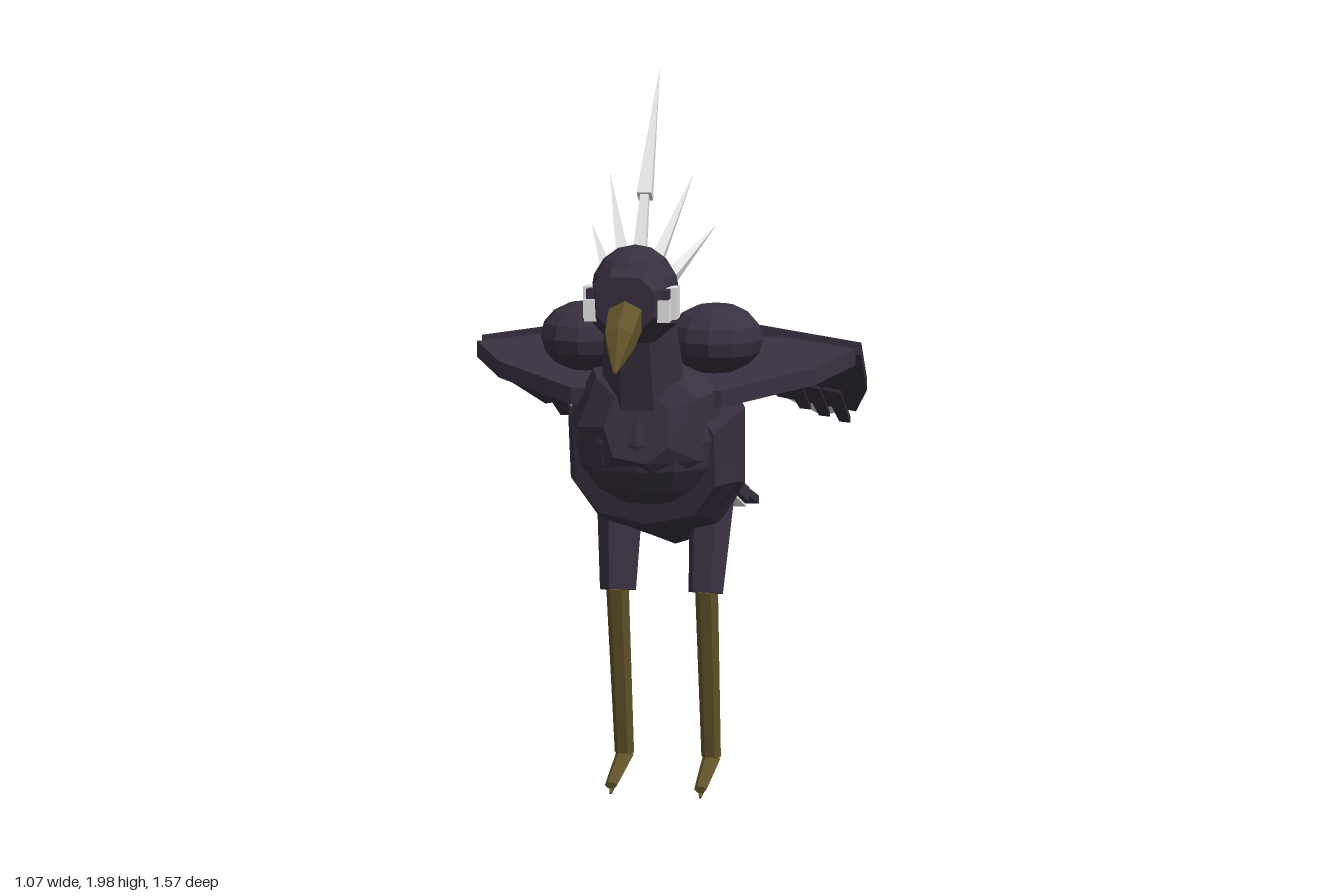
import * as THREE from 'three';

const mat = (name, color) => {
  const m = new THREE.MeshStandardMaterial({ color });
  m.name = name;
  return m;
};

export function createModel() {
  const plum = mat('plum plumage', 0x393040);
  const white = mat('white feather', 0xe4e4e4);
  const horn = mat('olive horn', 0x62542a);
  const model = new THREE.Group();
  model.name = 'crestedBird';

  const add = (name, geometry, material) => {
    const g = geometry.index ? geometry.toNonIndexed() : geometry;
    g.computeVertexNormals();
    const mesh = new THREE.Mesh(g, material);
    mesh.name = name;
    model.add(mesh);
    return mesh;
  };

  // Skin over slanted, slightly squared oval sections, front to back: [zTop, yTop, zBottom, yBottom, halfWidth]
  const full = (v) => Math.sign(v) * Math.abs(v) ** 0.8;
  const loft = (name, sections, sides, material) => {
    const rings = sections.map(([zt, yt, zb, yb, w]) => Array.from({ length: sides }, (_, i) => {
      const a = ((i + 0.5) / sides) * Math.PI * 2, k = 1 / Math.cos(Math.PI / sides);
      const s = full(Math.sin(a)) * (sides % 4 === 2 ? 1 : k) * 0.5;
      return [w * full(Math.cos(a)) * k, (yt + yb) / 2 + s * (yt - yb), (zt + zb) / 2 + s * (zt - zb)];
    }));
    const pos = [];
    const tri = (a, b, c) => pos.push(...a, ...b, ...c);
    for (let r = 0; r < rings.length - 1; r++) {
      for (let j = 0; j < sides; j++) {
        const A = rings[r], B = rings[r + 1], n = (j + 1) % sides;
        tri(A[j], B[j], B[n]);
        tri(A[j], B[n], A[n]);
      }
    }
    const first = rings[0], last = rings[rings.length - 1];
    for (let j = 1; j < sides - 1; j++) {
      tri(first[0], first[j], first[j + 1]);
      tri(last[0], last[j + 1], last[j]);
    }
    const g = new THREE.BufferGeometry();
    g.setAttribute('position', new THREE.Float32BufferAttribute(pos, 3));
    return add(name, g, material);
  };

  const blob = (name, c, r) => {
    const g = new THREE.SphereGeometry(1, 12, 8);
    g.scale(...r).translate(...c);
    return add(name, g, plum);
  };

  const box = (name, size, c, material) => add(name, new THREE.BoxGeometry(...size).translate(...c), material);

  // Tapered rod from a to b
  const rod = (name, a, b, ra, rb, sides, material) => {
    const A = new THREE.Vector3(...a), B = new THREE.Vector3(...b);
    const d = B.clone().sub(A);
    const g = new THREE.CylinderGeometry(rb, ra, d.length(), sides);
    g.rotateY(Math.PI / sides);
    g.applyQuaternion(new THREE.Quaternion().setFromUnitVectors(new THREE.Vector3(0, 1, 0), d.normalize()));
    g.translate(...A.add(B).multiplyScalar(0.5).toArray());
    return add(name, g, material);
  };

  // Plate outlined in [x, z]; its top follows height(x, z)
  const plate = (name, outline, height, thick, material, s = 1) => {
    const shape = new THREE.Shape(outline.map(([x, z]) => new THREE.Vector2(x * s, z)));
    const g = new THREE.ExtrudeGeometry(shape, { depth: thick, bevelEnabled: false });
    const p = g.attributes.position;
    for (let i = 0; i < p.count; i++) {
      const x = p.getX(i), z = p.getY(i);
      p.setXYZ(i, x, height(Math.abs(x), z) - p.getZ(i), z);
    }
    return add(name, g, material);
  };

  // Torso and breast
  loft('body', [
    [0.40, 1.17, 0.31, 0.80, 0.185],
    [0.27, 1.23, 0.19, 0.76, 0.222],
    [0.05, 1.24, 0.03, 0.705, 0.225],
    [-0.16, 1.21, -0.11, 0.665, 0.2],
    [-0.27, 1.12, -0.18, 0.642, 0.165],
    [-0.31, 1.02, -0.19, 0.64, 0.13],
  ], 10, plum);
  blob('breast', [0, 1.04, 0.285], [0.205, 0.19, 0.19]);
  loft('breastRuff', [
    [0.45, 1.17, 0.475, 1.0, 0.08],
    [0.42, 1.22, 0.41, 0.93, 0.15],
    [0.30, 1.23, 0.30, 0.92, 0.19],
  ], 7, plum);
  rod('throatTuft', [0, 1.15, 0.435], [0, 1.24, 0.46], 0.02, 0.012, 4, plum).scale.x = 4;

  // Neck, mane and head
  rod('neck', [0, 1.14, 0.35], [0, 1.4, 0.43], 0.115, 0.09, 8, plum);
  blob('mane', [0, 1.355, 0.31], [0.085, 0.11, 0.095]);
  blob('head', [0, 1.435, 0.485], [0.115, 0.125, 0.12]);
  loft('face', [
    [0.635, 1.49, 0.63, 1.36, 0.072],
    [0.56, 1.51, 0.56, 1.32, 0.095],
    [0.45, 1.5, 0.45, 1.31, 0.1],
  ], 8, plum);
  loft('beak', [
    [0.78, 1.275, 0.775, 1.27, 0.004],
    [0.73, 1.38, 0.70, 1.305, 0.033],
    [0.61, 1.445, 0.61, 1.345, 0.042],
  ], 6, horn);

  // Long middle crest feather with a barbed blade
  rod('crestStem', [0, 1.5, 0.43], [0, 1.7, 0.32], 0.024, 0.014, 4, white);
  rod('crestBlade', [0, 1.67, 0.335], [0, 1.99, 0.1], 0.027, 0.001, 4, white);

  // Wing surfaces: level arm, flight feathers sloping back and outward
  const armY = (x, z) => 1.235 - 0.22 * (z - 0.03) + 0.03 * (x - 0.3);
  const flightY = (x, z) => 1.268 + 0.449 * (z + 0.17) - 0.166 * (x - 0.14);
  const tailY = (x, z) => 0.873 + 0.405 * (z + 0.25);

  for (const s of [1, -1]) {
    const side = s > 0 ? 'left' : 'right';
    const n = (part) => side + part;

    // Eye patch in two steps with a dark eye
    box(n('EyePatch'), [0.03, 0.08, 0.06], [s * 0.104, 1.42, 0.54], white);
    box(n('EyePatchFront'), [0.03, 0.055, 0.05], [s * 0.092, 1.405, 0.59], white);
    box(n('Eye'), [0.02, 0.025, 0.035], [s * 0.094, 1.445, 0.585], plum);

    // Side crest spikes and shoulder spike
    rod(n('InnerSpike'), [s * 0.04, 1.5, 0.42], [s * 0.11, 1.72, 0.23], 0.022, 0.001, 4, white);
    rod(n('OuterSpike'), [s * 0.08, 1.47, 0.42], [s * 0.165, 1.585, 0.2], 0.022, 0.001, 4, white);
    rod(n('ShoulderSpike'), [s * 0.17, 1.26, 0.12], [s * 0.22, 1.31, 0.03], 0.014, 0.001, 4, white);
    blob(n('Shoulder'), [s * 0.173, 1.293, 0.237], [0.126, 0.094, 0.14]);

    // Wing
    plate(n('WingArm'), [[0.06, 0.05], [0.13, -0.17], [0.525, 0.025], [0.43, 0.17], [0.2, 0.33], [0.1, 0.33]],
      armY, 0.045, plum, s);
    plate(n('WingFeathers'),
      [[0.14, -0.17], [0.17, -0.4], [0.24, -0.645], [0.475, -0.645], [0.525, -0.4], [0.533, -0.07], [0.25, -0.08]],
      flightY, 0.036, plum, s);
    plate(n('WingTip'), [[0.24, -0.645], [0.36, -0.79], [0.475, -0.645]], flightY, 0.028, white, s);
    for (const [x, end] of [[0.31, -0.7], [0.365, -0.74], [0.425, -0.765]]) {
      plate(n('WingFinger'), [[x - 0.03, -0.45], [x - 0.01, end], [x + 0.025, end + 0.01], [x + 0.02, -0.45]],
        (px, z) => flightY(px, z) - 0.026, 0.018, plum, s);
    }

    // Outer tail feather, pale drooping under feather and small tuft
    plate(n('TailFeather'), [[0.06, -0.2], [0.105, -0.735], [0.175, -0.722], [0.155, -0.6], [0.11, -0.2]],
      tailY, 0.025, plum, s);
    plate(n('TailUnderFeather'), [[0.06, -0.27], [0.115, -0.27], [0.15, -0.6], [0.08, -0.64]],
      (x, z) => tailY(x, z) - 0.043 - 0.1 * (x - 0.06), 0.008, white, s);
    plate(n('TailTuft'), [[0.035, -0.62], [0.03, -0.665], [0.08, -0.67], [0.085, -0.62]],
      (x, z) => tailY(x, z) - 0.01, 0.02, plum, s);

    // Leg
    rod(n('Thigh'), [s * 0.13, 0.84, -0.015], [s * 0.123, 0.56, 0.065], 0.066, 0.05, 6, plum);
    rod(n('Shin'), [s * 0.125, 0.57, 0.062], [s * 0.125, 0.06, -0.04], 0.032, 0.028, 6, horn);
    const foot = rod(n('Foot'), [0, 0, 0], [0, -0.035, 0.22], 0.026, 0.017, 6, horn);
    foot.scale.y = 0.65;
    foot.position.set(s * 0.125, 0.052, -0.045);
    rod(n('Claw'), [s * 0.125, 0.025, 0.15], [s * 0.125, 0.008, 0.18], 0.012, 0.004, 4, horn);
  }

  // Middle of the tail with pale end
  plate('tailFan', [[-0.11, -0.2], [0.11, -0.2], [0.16, -0.6], [-0.16, -0.6]], tailY, 0.045, plum);
  plate('tailEnd', [[-0.085, -0.59], [0.085, -0.59], [0.08, -0.66], [-0.08, -0.66]],
    (x, z) => tailY(x, z) - 0.015, 0.025, white);

  return model;
}
